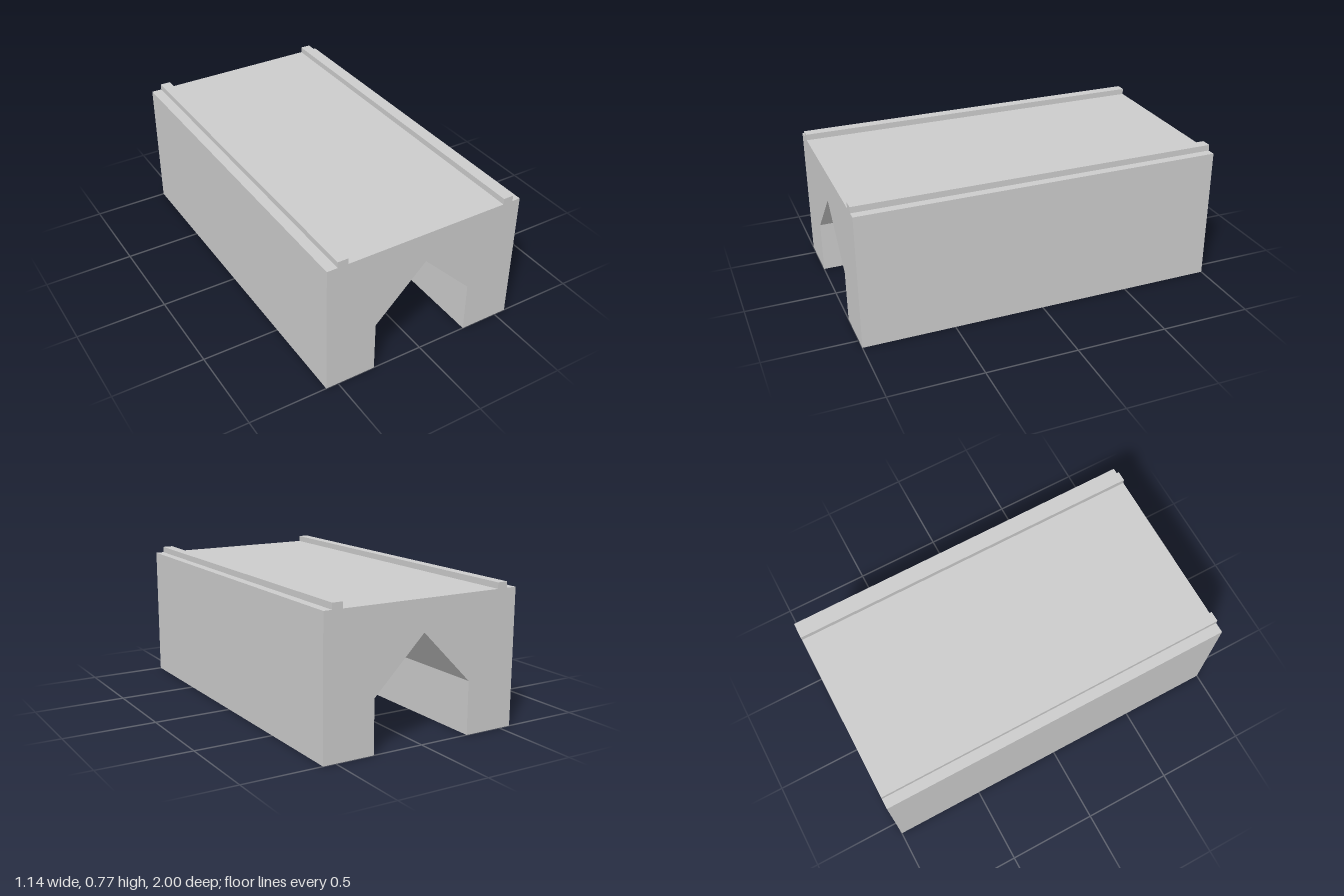
import * as THREE from 'three';

const LENGTH = 2;

export function createModel() {
  const model = new THREE.Group();
  model.name = 'tunnelBlock';
  const material = new THREE.MeshStandardMaterial({ color: 0xcccccc, flatShading: true });

  // Block with a gabled passage, extruded along z
  const profile = new THREE.Shape([
    [-0.569, 0], [-0.285, 0], [-0.285, 0.286], [0, 0.571], [0.285, 0.286],
    [0.285, 0], [0.569, 0], [0.569, 0.74], [-0.569, 0.74],
  ].map(([x, y]) => new THREE.Vector2(x, y)));
  const bodyGeometry = new THREE.ExtrudeGeometry(profile, { depth: LENGTH, bevelEnabled: false });
  bodyGeometry.translate(0, 0, -LENGTH / 2);
  const body = new THREE.Mesh(bodyGeometry, material);
  body.name = 'body';
  model.add(body);

  // Two raised rails along the top
  const railHeight = 0.033;
  for (const [name, x] of [['rightRail', -0.482], ['leftRail', 0.493]]) {
    const rail = new THREE.Mesh(new THREE.BoxGeometry(0.058, railHeight, LENGTH), material);
    rail.name = name;
    rail.position.set(x, 0.74 + railHeight / 2, 0);
    model.add(rail);
  }

  return model;
}
